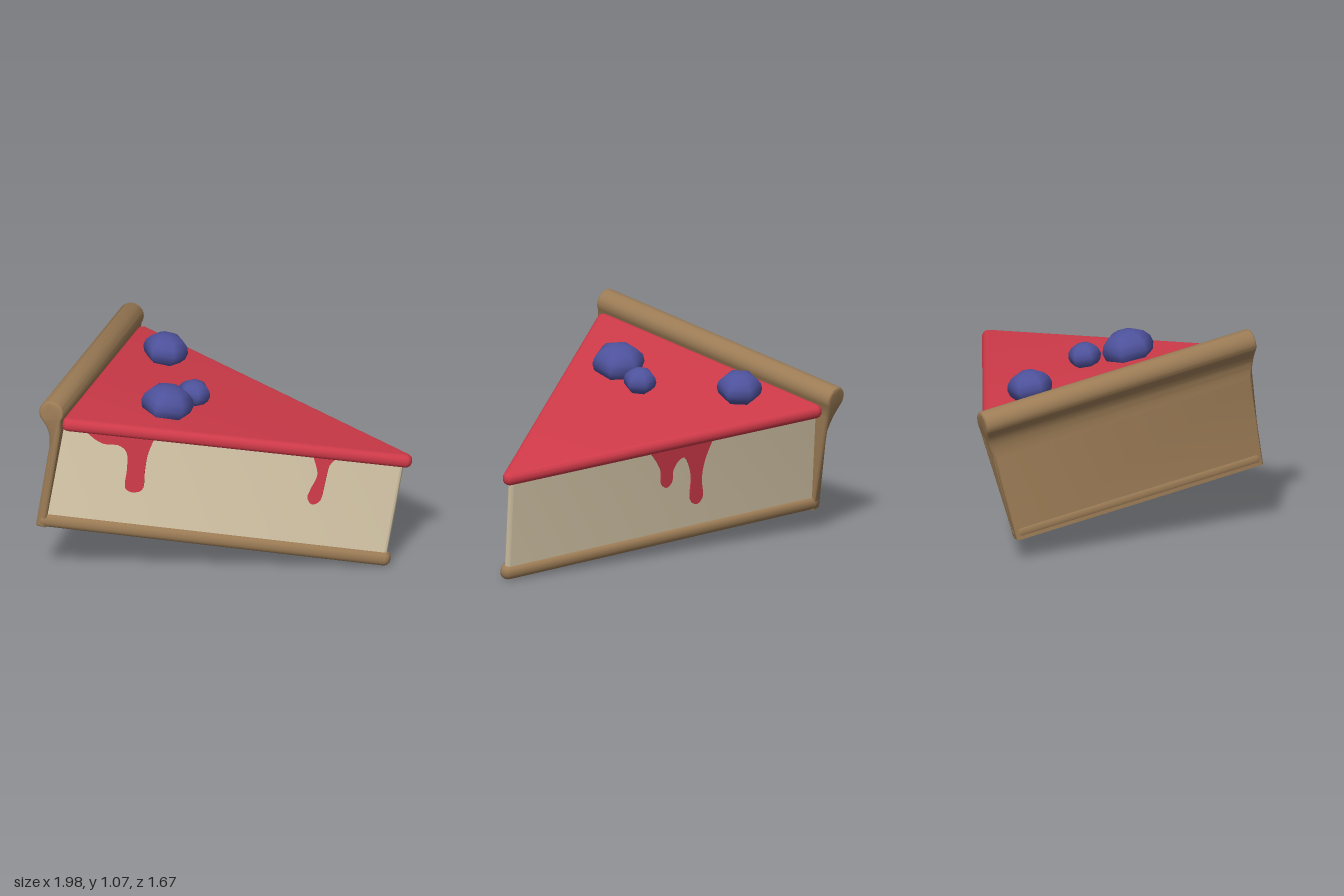
import * as THREE from 'three';
import { toCreasedNormals } from 'three/addons/utils/BufferGeometryUtils.js';

const mat = (name, color) => {
  const m = new THREE.MeshStandardMaterial({ color });
  m.name = name;
  return m;
};

// Isosceles wedge with rounded corners: corner centres at (backX, +-half) and (tipX, 0)
function wedgeShape(backX, half, tipX, r) {
  const a = Math.atan2(tipX - backX, half);
  const s = new THREE.Shape();
  s.absarc(tipX, 0, r, -a, a, false);
  s.absarc(backX, half, r, a, Math.PI, false);
  s.absarc(backX, -half, r, Math.PI, 2 * Math.PI - a, false);
  s.closePath();
  return s;
}

// Flat slab from y0 to y1 with an optional round rim of size b
function slab(shape, y0, y1, b) {
  const g = new THREE.ExtrudeGeometry(shape, {
    depth: y1 - y0 - 2 * b, curveSegments: 6, bevelEnabled: b > 0,
    bevelSize: b, bevelThickness: b, bevelSegments: 5,
  });
  g.rotateX(-Math.PI / 2);
  g.translate(0, y0 + b, 0);
  return toCreasedNormals(g, 0.6);
}

// Upright back crust with a rolled lip, widening towards the top
function crustWall() {
  const b = 0.014, half = 0.72;
  const s = new THREE.Shape();
  s.moveTo(0.036, 0.014);
  s.lineTo(0.036, 0.58);
  s.absarc(-0.015, 0.67, 0.053, -0.5, Math.PI * 1.25, false);
  s.bezierCurveTo(-0.01, 0.59, 0.012, 0.56, 0.013, 0.46);
  s.lineTo(0.013, 0.014);
  s.closePath();
  const g = new THREE.ExtrudeGeometry(s, {
    depth: 2 * (half - b), curveSegments: 14, bevelSize: b, bevelThickness: b, bevelSegments: 4,
  });
  g.translate(0, 0, b - half);
  const p = g.attributes.position;
  for (let i = 0; i < p.count; i++) {
    const t = THREE.MathUtils.smoothstep(p.getY(i), 0.3, 0.66);
    p.setZ(i, p.getZ(i) * (1 + 0.095 * t));
  }
  return toCreasedNormals(g, 0.7);
}

// Thin sauce run laid on one slanted side of the filling (side = 1 or -1)
function drip(points, top, side) {
  const s = new THREE.Shape();
  s.moveTo(...top[0]);
  s.lineTo(...points[0]);
  s.splineThru(points.slice(1).map(([x, y]) => new THREE.Vector2(x, y)));
  s.lineTo(...top[1]);
  s.closePath();
  const g = new THREE.ExtrudeGeometry(s, { depth: 0.007, curveSegments: 40, bevelEnabled: false });
  const p = g.attributes.position;
  for (let i = 0; i < p.count; i++) {
    p.setZ(i, p.getZ(i) - 0.0035 + side * (0.7255 - 0.4102 * p.getX(i)));
  }
  g.computeVertexNormals();
  return g;
}

export function createModel() {
  const crust = mat('crust brown', 0x9c7c56);
  const cream = mat('filling cream', 0xd8c9aa);
  const sauce = mat('sauce red', 0xcf3a49);
  const berry = mat('berry blue', 0x4e529c);

  const slice = new THREE.Group();
  slice.name = 'cakeSlice';
  const add = (name, geometry, material) => {
    const m = new THREE.Mesh(geometry, material);
    m.name = name;
    slice.add(m);
    return m;
  };

  // Stacked layers; local +x points to the tip of the slice
  add('crustBase', slab(wedgeShape(0.035, 0.685, 1.715, 0.005), 0, 0.08, 0.035), crust);
  add('crustWall', crustWall(), crust);
  add('filling', slab(wedgeShape(0.03, 0.69, 1.712, 0.02), 0.06, 0.6, 0), cream);
  add('topping', slab(wedgeShape(0.075, 0.715, 1.735, 0.004), 0.572, 0.645, 0.033), sauce);

  // Sauce drips
  add('wideDrip', drip([
    [0.165, 0.57], [0.21, 0.534], [0.263, 0.512], [0.335, 0.512], [0.38, 0.473], [0.395, 0.384],
    [0.398, 0.303], [0.41, 0.268], [0.45, 0.256], [0.49, 0.285], [0.483, 0.39], [0.483, 0.483], [0.5, 0.57],
  ], [[0.165, 0.6], [0.5, 0.6]], 1), sauce);
  add('narrowDrip', drip([
    [1.29, 0.575], [1.325, 0.478], [1.305, 0.39], [1.298, 0.34], [1.325, 0.305], [1.363, 0.335],
    [1.37, 0.446], [1.375, 0.53], [1.4, 0.575],
  ], [[1.29, 0.6], [1.4, 0.6]], 1), sauce);
  add('doubleDrip', drip([
    [0.62, 0.575], [0.66, 0.46], [0.675, 0.35], [0.665, 0.24], [0.7, 0.2], [0.735, 0.245], [0.735, 0.38],
    [0.765, 0.485], [0.8, 0.495], [0.835, 0.44], [0.84, 0.37], [0.87, 0.34], [0.9, 0.375],
    [0.905, 0.45], [0.935, 0.52], [0.97, 0.575],
  ], [[0.62, 0.6], [0.97, 0.6]], -1), sauce);

  // Berries: x, y, z, radius, half height, turn
  [
    [0.484, 0.69, 0.286, 0.14, 0.1, 0.35],
    [0.57, 0.695, 0.071, 0.088, 0.07, 0],
    [0.284, 0.705, -0.371, 0.12, 0.088, 0.14],
  ].forEach(([x, y, z, r, h, turn], i) => {
    const m = add('berry' + (i + 1), new THREE.SphereGeometry(1, 6, 8), berry);
    m.position.set(x, y, z);
    m.scale.set(r, h, r);
    m.rotation.y = turn;
  });

  // Tilt the slice into its pose
  const up = new THREE.Vector3(0.026, 0.979, -0.202).normalize();
  const out = new THREE.Vector3(0.838, -0.132, -0.529);
  out.addScaledVector(up, -out.dot(up)).normalize();
  const side = new THREE.Vector3().crossVectors(out, up);
  slice.quaternion.setFromRotationMatrix(new THREE.Matrix4().makeBasis(out, up, side));
  slice.position.set(-0.515, 0.24, 0.235);

  // Rest on the ground, centred
  const model = new THREE.Group();
  model.name = 'model';
  model.add(slice);
  model.updateMatrixWorld(true);
  const box = new THREE.Box3().setFromObject(model, true);
  const c = box.getCenter(new THREE.Vector3());
  slice.position.sub(new THREE.Vector3(c.x, box.min.y, c.z));
  return model;
}
